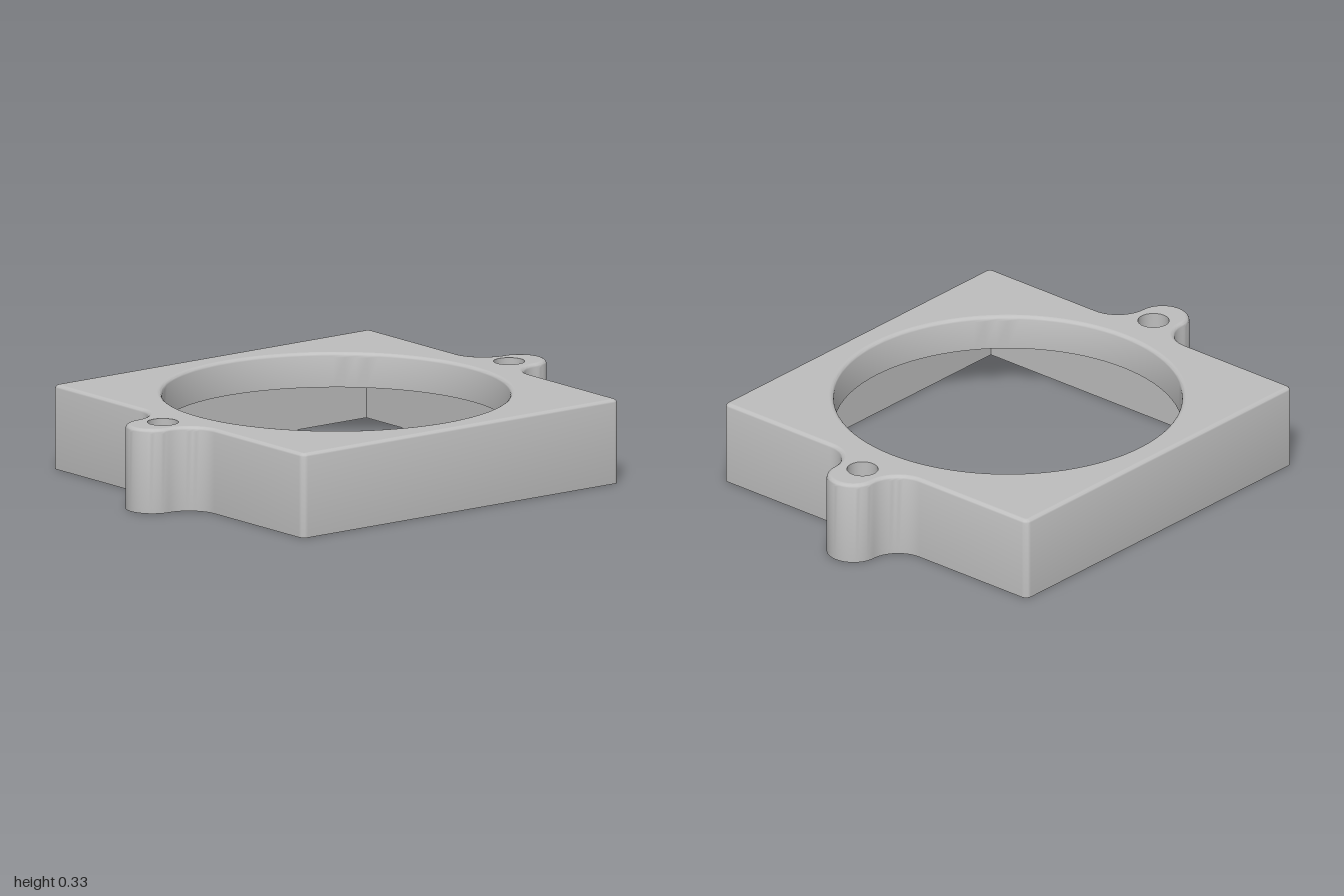
import * as THREE from 'three';
import { toCreasedNormals } from 'three/addons/utils/BufferGeometryUtils.js';

const HEIGHT = 0.33, HALF = 0.773, CORNER = 0.025, ROUND = 0.018;
const LUG_X = 0.897, LUG_R = 1 - LUG_X, FILLET = LUG_X - HALF;
const BORE = 0.667, HOLE_X = 0.845, HOLE_R = 0.06;
const POCKET = 0.71, CEILING = 0.195;

// Points along an arc, angles in degrees
function arc(cx, cy, r, from, to, n) {
  return Array.from({ length: n + 1 }, (_, i) => {
    const a = THREE.MathUtils.degToRad(from + (to - from) * i / n);
    return new THREE.Vector2(cx + r * Math.cos(a), cy + r * Math.sin(a));
  });
}
const circle = (x, r, n) => arc(x, 0, r, 0, 360, n).slice(0, n);

// Counter-clockwise plate outline with two lugs, inset by d
function outline(d) {
  const c = HALF - CORNER, zf = LUG_R + FILLET;
  const half = [
    ...arc(c, -c, CORNER - d, -90, 0, 6),
    ...arc(LUG_X, -zf, FILLET + d, 180, 90, 14),
    ...arc(LUG_X, 0, LUG_R - d, -90, 90, 28).slice(1),
    ...arc(LUG_X, zf, FILLET + d, -90, -180, 14).slice(1),
    ...arc(c, c, CORNER - d, 0, 90, 6),
  ];
  return [...half, ...half.map(p => p.clone().negate())];
}

// Closed wall through a list of [contour, height] levels
function wall(levels) {
  const pos = [];
  const put = ([pts, y], i) => {
    const p = pts[i % pts.length];
    pos.push(p.x, y, -p.y);
  };
  for (let k = 0; k + 1 < levels.length; k++) {
    const a = levels[k], b = levels[k + 1];
    for (let i = 0; i < a[0].length; i++) {
      put(a, i); put(a, i + 1); put(b, i + 1);
      put(a, i); put(b, i + 1); put(b, i);
    }
  }
  const g = new THREE.BufferGeometry();
  g.setAttribute('position', new THREE.Float32BufferAttribute(pos, 3));
  return toCreasedNormals(g, 0.6);
}

// Flat face with holes, facing up or down
function face(points, holes, y, up) {
  const s = new THREE.Shape(points);
  s.holes = holes.map(h => new THREE.Path(h));
  return new THREE.ShapeGeometry(s).rotateX(up ? -Math.PI / 2 : Math.PI / 2).translate(0, y, 0);
}

export function createModel() {
  const group = new THREE.Group();
  group.name = 'mountingFrame';
  const grey = new THREE.MeshStandardMaterial({ color: 0xbfbfbf });
  grey.name = 'grey';
  const add = (name, geometry) => {
    const m = new THREE.Mesh(geometry, grey);
    m.name = name;
    group.add(m);
  };

  // Quarter-round steps for the top edges: [inset, height]
  const rounding = Array.from({ length: 6 }, (_, i) => {
    const a = i / 5 * Math.PI / 2;
    return [ROUND * (1 - Math.cos(a)), HEIGHT - ROUND + ROUND * Math.sin(a)];
  });
  const lugHoles = [-1, 1].map(s => circle(s * HOLE_X, HOLE_R, 32));
  const square = [[-1, -1], [1, -1], [1, 1], [-1, 1]]
    .map(([x, y]) => new THREE.Vector2(x * POCKET, y * POCKET));

  // Outside
  add('outerWall', wall([[outline(0), 0], ...rounding.map(([d, y]) => [outline(d), y])]));
  add('topFace', face(outline(ROUND), [circle(0, BORE + ROUND, 96), ...lugHoles], HEIGHT, true));
  add('bottomRim', face(outline(0), [square, ...lugHoles], 0, false));

  // Large round opening
  const boreLevels = [[0, CEILING], ...rounding].reverse();
  add('boreWall', wall(boreLevels.map(([d, y]) => [circle(0, BORE + d, 96), y])));

  // Square pocket underneath
  add('pocketWall', wall([[square, CEILING], [square, 0]]));
  add('pocketCeiling', face(square, [circle(0, BORE, 96)], CEILING, false));

  // Screw holes through the lugs
  lugHoles.forEach((h, i) => add(i ? 'leftScrewHole' : 'rightScrewHole', wall([[h, HEIGHT], [h, 0]])));
  return group;
}
